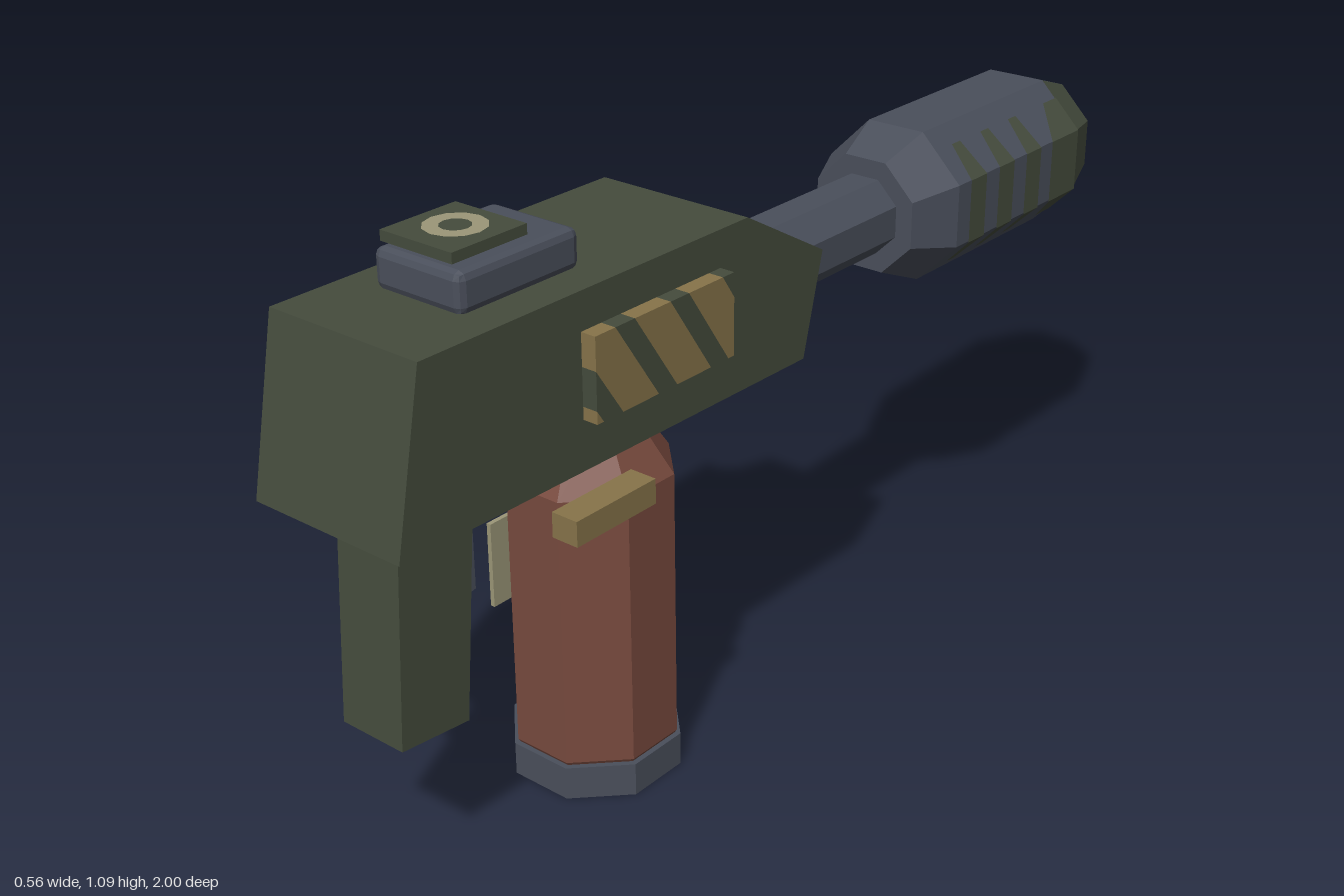
import * as THREE from 'three';
import { RoundedBoxGeometry } from 'three/addons/geometries/RoundedBoxGeometry.js';

const CX = 0.0625; // centre plane of the body
const BY = 0.8; // barrel axis height

export function createModel() {
  const root = new THREE.Group();
  const mat = (name, color, side = THREE.FrontSide) => {
    const m = new THREE.MeshStandardMaterial({ color, flatShading: true, side });
    m.name = name;
    return m;
  };
  const green = mat('armour green', 0x454c3d, THREE.DoubleSide);
  const steel = mat('blue steel', 0x4a4f5b);
  const red = mat('tank red', 0x784a3e);
  const tan = mat('warning tan', 0x87744a);
  const pale = mat('pale marking', 0x9c9778);

  const add = (name, geometry, material, parent = root) => {
    const mesh = new THREE.Mesh(geometry, material);
    mesh.name = name;
    parent.add(mesh);
    return mesh;
  };
  const group = (name) => {
    const g = new THREE.Group();
    g.name = name;
    root.add(g);
    return g;
  };
  // Box given by its limits on each axis
  const box = (name, [x0, x1], [y0, y1], [z0, z1], material, parent) =>
    add(name, new THREE.BoxGeometry(x1 - x0, y1 - y0, z1 - z0)
      .translate((x0 + x1) / 2, (y0 + y1) / 2, (z0 + z1) / 2), material, parent);
  // Side profile of [z, y] points, extruded between x0 and x1
  const profile = (name, pts, x0, x1, material, parent) => {
    const shape = new THREE.Shape(pts.map(([z, y]) => new THREE.Vector2(z, y)));
    const g = new THREE.ExtrudeGeometry(shape, { depth: x1 - x0, bevelEnabled: false });
    return add(name, g.rotateY(-Math.PI / 2).translate(x1, 0, 0), material, parent);
  };
  // Octagonal piece standing on y, sized by its flats; first = first facet, count = facets used
  const oct = (top, bottom, h, open = false, first = 0, count = 8) => {
    const k = 1 / Math.cos(Math.PI / 8);
    return new THREE.CylinderGeometry(top * k, bottom * k, h, count, 1, open,
      -Math.PI / 8 + first * Math.PI / 4, count * Math.PI / 4);
  };
  // Octagonal piece along the barrel, from z0 (rear) to z1 (tip)
  const barrelOct = (name, a0, a1, z0, z1, material, parent, ...rest) =>
    add(name, oct(a1, a0, z0 - z1, ...rest).rotateX(-Math.PI / 2)
      .translate(CX, BY, (z0 + z1) / 2), material, parent);

  // Body and grip
  profile('body', [[1, 0.69], [0.94, 0.99], [0.2, 0.99], [-0.01, 0.87], [0.04, 0.68]], -0.095, 0.22, green);
  profile('grip', [[0.92, 0.7], [0.944, 0.3], [0.8, 0.284], [0.762, 0.7]], -0.005, 0.13, green);

  // Trigger guard
  const guard = group('triggerGuard');
  box('guardPost', [-0.08, -0.05], [0.37, 0.7], [0.6, 0.635], steel, guard);
  profile('guardBar', [[0.6, 0.37], [0.82, 0.326], [0.82, 0.355], [0.6, 0.388]], -0.08, -0.05, steel, guard);

  // Barrel and muzzle
  barrelOct('barrel', 0.074, 0.074, 0.1, -0.37, steel);
  const muzzle = group('muzzle');
  barrelOct('muzzleRear', 0.11, 0.15, -0.357, -0.455, steel, muzzle);
  barrelOct('muzzleBody', 0.15, 0.15, -0.455, -0.89, steel, muzzle);
  for (const first of [0, 4])
    barrelOct('muzzleTipSteel', 0.15, 0.113, -0.89, -1, steel, muzzle, true, first, 1);
  for (const first of [1, 5])
    barrelOct('muzzleTipGreen', 0.15, 0.113, -0.89, -1, green, muzzle, true, first, 3);
  barrelOct('muzzleCap', 0.113, 0.113, -0.993, -1, green, muzzle);

  // Painted bands wrapped over the three side facets; rows are [x, y, zRear, zTip]
  const band = (name, rows, side) => {
    const pos = [], index = [];
    rows.forEach(([x, y, za, zb], i) => {
      pos.push(CX + side * x, BY + y, za, CX + side * x, BY + y, zb);
      if (i) {
        const a = 2 * i - 2;
        const tri = [a, a + 2, a + 1, a + 1, a + 2, a + 3];
        index.push(...(side > 0 ? tri.reverse() : tri));
      }
    });
    const g = new THREE.BufferGeometry();
    g.setAttribute('position', new THREE.Float32BufferAttribute(pos, 3));
    g.setIndex(index);
    g.computeVertexNormals();
    add(name, g, green, muzzle);
  };
  const section = [[0.096, 0.12], [0.153, 0.063], [0.153, -0.063], [0.096, -0.12]];
  for (const side of [-1, 1]) {
    for (const z of [-0.52, -0.62, -0.72])
      band('muzzleStripe', section.map(([x, y], i) => {
        const w = i % 3 ? 0.027 : 0.014;
        return [x, y, z + w, z - w];
      }), side);
    band('muzzleTipPaint', section.map(([x, y], i) => [x, y, i % 3 ? -0.79 : -0.84, -0.89]), side);
  }

  // Fuel tank and its foot
  const tank = group('tank');
  const stand = (name, top, bottom, y0, y1, material) =>
    add(name, oct(top, bottom, y1 - y0).translate(CX, (y0 + y1) / 2, 0.43), material, tank);
  stand('tankShoulder', 0.066, 0.14, 0.58, 0.7, red);
  stand('tankBody', 0.14, 0.14, 0.07, 0.58, red);
  stand('tankBevel', 0.14, 0.134, 0.06, 0.07, red);
  stand('tankFoot', 0.146, 0.146, 0, 0.063, steel);

  // Marking plate beside the tank
  box('tankLabel', [-0.099, -0.09], [0.28, 0.445], [0.39, 0.52], pale);
  box('tankLabelMark', [-0.101, -0.099], [0.33, 0.4], [0.43, 0.48], green);

  // Side handle on two slanted arms
  const handle = group('sideHandle');
  const a = new THREE.Vector2(-0.237, 0.583), b = new THREE.Vector2(-0.05, 0.722);
  for (const z of [0.15, -0.09]) {
    const arm = add('handleArm', new THREE.BoxGeometry(a.distanceTo(b), 0.042, 0.046), steel, handle);
    arm.position.set((a.x + b.x) / 2, (a.y + b.y) / 2, z);
    arm.rotation.z = Math.atan2(b.y - a.y, b.x - a.x);
  }
  box('handleGrip', [-0.28, -0.205], [0.548, 0.62], [-0.088, 0.152], green, handle);

  // Sight block, floating plate and ring
  const sight = group('sight');
  add('sightBase', new RoundedBoxGeometry(0.185, 0.07, 0.258, 1, 0.014)
    .translate(CX, 1.022, 0.662), steel, sight);
  box('sightPlate', [-0.014, 0.138], [1.068, 1.086], [0.63, 0.787], green, sight);
  add('sightRing', new THREE.RingGeometry(0.026, 0.052, 12).rotateX(-Math.PI / 2)
    .translate(CX, 1.088, 0.705), pale, sight);

  // Warning panels: the rectangle is cut into slanted strips of two colours
  const LEAN = 0.67, Y0 = 0.777, Y1 = 0.925, Z0 = 0.275, Z1 = 0.61;
  const lean = ([z, y]) => z - LEAN * (y - Y0);
  const clip = (pts, limit, sign) => pts.flatMap((p, i) => {
    const q = pts[(i + 1) % pts.length];
    const dp = sign * (lean(p) - limit), dq = sign * (lean(q) - limit);
    const out = dp >= 0 ? [p] : [];
    if (dp * dq < 0) {
      const t = dp / (dp - dq);
      out.push([p[0] + (q[0] - p[0]) * t, p[1] + (q[1] - p[1]) * t]);
    }
    return out;
  });
  const rect = [[Z0, Y0], [Z1, Y0], [Z1, Y1], [Z0, Y1]];
  const cuts = [0.1, 0.16, 0.205, 0.29, 0.335, 0.42, 0.465, 0.55, 0.595, 0.7];
  for (const [x0, x1] of [[0.223, 0.252], [-0.129, -0.1]]) {
    const panel = group('warningPanel');
    for (let i = 0; i < cuts.length - 1; i++) {
      const strip = clip(clip(rect, cuts[i], 1), cuts[i + 1], -1);
      if (strip.length > 2)
        profile(i % 2 ? 'panelStripe' : 'panelBase', strip, x0, x1, i % 2 ? green : tan, panel);
    }
  }

  // Small catch below the body
  box('catch', [0.225, 0.277], [0.605, 0.65], [0.505, 0.69], tan);

  return root;
}
